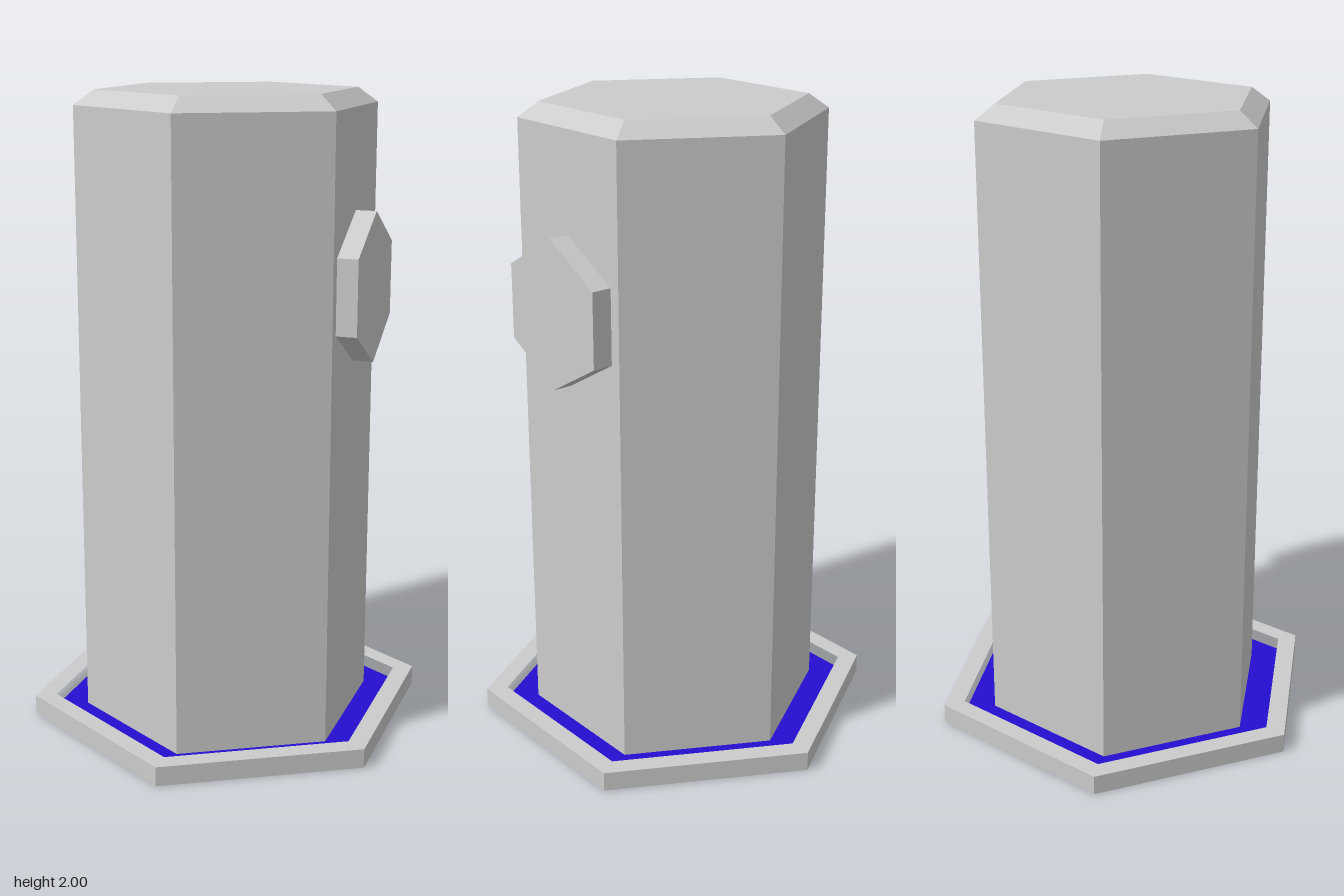
import * as THREE from 'three';

export function createModel() {
  const group = new THREE.Group();
  const grey = new THREE.MeshStandardMaterial({ color: 0xcccccc, flatShading: true });
  const blue = new THREE.MeshStandardMaterial({ color: 0x240ecf, flatShading: true });

  const add = (name, geometry, material = grey) => {
    const mesh = new THREE.Mesh(geometry, material);
    mesh.name = name;
    group.add(mesh);
    return mesh;
  };

  // Hexagonal prism with corners on the z axis, from y0 to y1
  const prism = (rTop, rBottom, y0, y1, open = false) =>
    new THREE.CylinderGeometry(rTop, rBottom, y1 - y0, 6, 1, open).translate(0, (y0 + y1) / 2, 0);

  const hexPoints = (r) => Array.from({ length: 6 }, (_, i) =>
    new THREE.Vector2(r * Math.sin(i * Math.PI / 3), r * Math.cos(i * Math.PI / 3)));

  const baseR = 0.638, rimR = 0.57, bodyR = 0.468, topR = 0.405;
  const floorY = 0.022, rimY = 0.062, shoulderY = 1.955;

  // Base: raised rim, and a plate that closes the underside
  const rim = new THREE.Shape(hexPoints(baseR));
  rim.holes.push(new THREE.Path(hexPoints(rimR)));
  add('baseRim', new THREE.ExtrudeGeometry(rim, { depth: rimY, bevelEnabled: false }).rotateX(-Math.PI / 2));
  add('basePlate', new THREE.ShapeGeometry(new THREE.Shape(hexPoints(rimR))).rotateX(Math.PI / 2));

  // Coloured band sunk inside the rim
  const band = new THREE.Shape(hexPoints(rimR));
  band.holes.push(new THREE.Path(hexPoints(bodyR)));
  add('baseInlay', new THREE.ShapeGeometry(band).rotateX(-Math.PI / 2).translate(0, floorY, 0), blue);

  // Column with a chamfered top
  add('column', prism(bodyR, bodyR, floorY, shoulderY, true));
  add('columnChamfer', prism(topR, bodyR, shoulderY, 2, true));
  add('columnTop', new THREE.ShapeGeometry(new THREE.Shape(hexPoints(topR))).rotateX(-Math.PI / 2).translate(0, 2, 0));

  // Hexagonal button on the left face, corner up
  const button = add('sideButton', new THREE.CylinderGeometry(0.23, 0.23, 0.065, 6)
    .rotateY(Math.PI / 2).rotateZ(-Math.PI / 2));
  button.position.set(0.437, 1.42, 0);

  return group;
}
